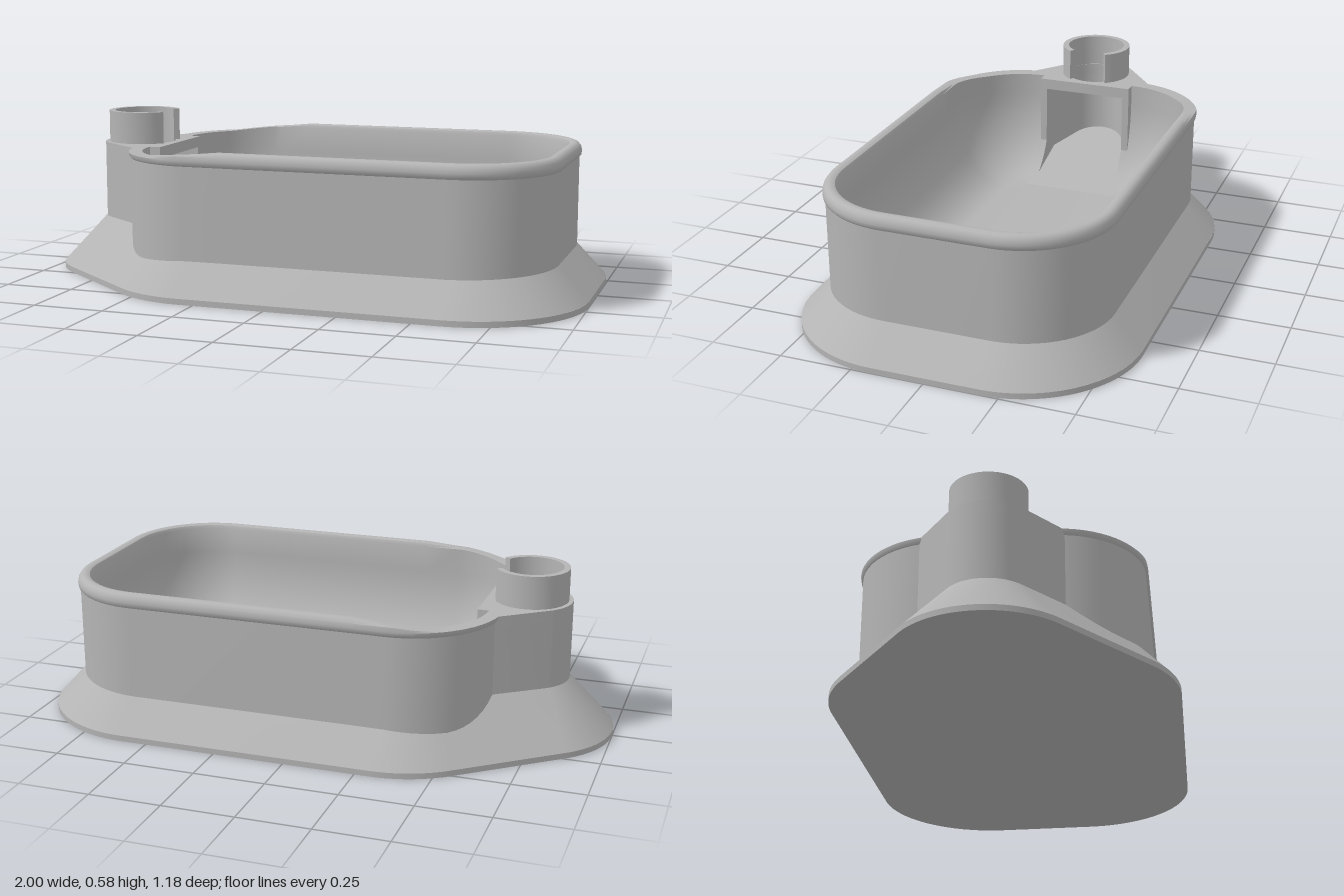
import * as THREE from 'three';
import { toCreasedNormals } from 'three/addons/utils/BufferGeometryUtils.js';

const TOWER_X = -0.69, TOWER_R = 0.15, SEG = 16, FLOOR = 0.09;
const TANGENT = 127 * Math.PI / 180;

// points along an arc in plan, as [x, z]
function arc(cx, cz, r, a0, a1, n = SEG) {
  return Array.from({ length: n + 1 }, (_, i) => {
    const a = a0 + (a1 - a0) * i / n;
    return [cx + r * Math.cos(a), cz + r * Math.sin(a)];
  });
}

// rounded bowl outline, offset by o, left open at the tower side
function bowlOutline(o) {
  const r = 0.31 + o, q = Math.PI / 2;
  const xl = -0.32, xr = 0.585, z = 0.18;
  return [
    ...arc(xl, z, r, 2 * q, q), [-0.2, z + r],
    ...arc(xr, z, r, q, 0), ...arc(xr, -z, r, 0, -q),
    [-0.2, -z - r], ...arc(xl, -z, r, -q, -2 * q),
  ];
}

// base outline: convex hull of five circles
function baseOutline() {
  const circles = [[-0.3, 0.18, 0.41], [0.59, 0.18, 0.41], [-0.3, -0.18, 0.41], [0.59, -0.18, 0.41], [TOWER_X, 0, 0.31]];
  const pts = [];
  for (let i = 0; i < 180; i++) {
    const a = (i + 0.5) / 90 * Math.PI, c = Math.cos(a), s = Math.sin(a);
    const reach = ([x, z, r]) => x * c + z * s + r;
    const [x, z, r] = circles.reduce((m, k) => (reach(k) > reach(m) ? k : m));
    pts.push([x + r * c, z + r * s]);
  }
  return pts;
}

// nearest point on a closed outline
function nearest([px, pz], loop) {
  let best = null, bestD = Infinity;
  loop.forEach(([ax, az], i) => {
    const [bx, bz] = loop[(i + 1) % loop.length];
    const dx = bx - ax, dz = bz - az;
    const t = THREE.MathUtils.clamp(((px - ax) * dx + (pz - az) * dz) / (dx * dx + dz * dz), 0, 1);
    const q = [ax + t * dx, az + t * dz], d = Math.hypot(px - q[0], pz - q[1]);
    if (d < bestD) { bestD = d; best = q; }
  });
  return { point: best, distance: bestD };
}

// surface through rows of [x, y, z] points
function loft(rows) {
  const n = rows[0].length, index = [];
  for (let j = 0; j < rows.length - 1; j++) {
    for (let i = 0; i < n - 1; i++) {
      const a = j * n + i, b = a + n;
      index.push(a, a + 1, b, a + 1, b + 1, b);
    }
  }
  const g = new THREE.BufferGeometry();
  g.setAttribute('position', new THREE.Float32BufferAttribute(rows.flat(2), 3));
  g.setIndex(index);
  return toCreasedNormals(g, 0.6);
}

// plan outline raised from y0 to y1
function prism(outline, y0, y1, hole) {
  const toV = (pts) => pts.map(([x, z]) => new THREE.Vector2(x, -z));
  const shape = new THREE.Shape(toV(outline));
  if (hole) shape.holes.push(new THREE.Path(toV(hole)));
  const g = new THREE.ExtrudeGeometry(shape, { depth: y1 - y0, bevelEnabled: false });
  g.rotateX(-Math.PI / 2).translate(0, y0, 0);
  return toCreasedNormals(g, 0.6);
}

export function createModel() {
  const group = new THREE.Group();
  const grey = new THREE.MeshStandardMaterial({ color: 0xb4b4b4, side: THREE.DoubleSide });
  grey.name = 'grey plastic';
  const add = (name, geometry) => {
    const mesh = new THREE.Mesh(geometry, grey);
    mesh.name = name;
    group.add(mesh);
  };

  // base plate
  const base = baseOutline();
  add('basePlate', prism(base, 0, 0.02));

  // sloping skirt from the plate up to the bowl and tower walls
  const towerArc = arc(TOWER_X, 0, TOWER_R, -TANGENT, TANGENT - 2 * Math.PI, 24);
  const walls = [
    ...bowlOutline(0).filter(([x, z]) => x > 0 || Math.abs(z) > 0.24),
    [-0.624, -0.24], ...towerArc, [-0.624, 0.24],
  ];
  walls.push(walls[0]);
  const feet = walls.map((p) => nearest(p, base));
  add('skirt', loft([
    walls.map(([x, z], i) => [x, 0.02 + 1.08 * feet[i].distance, z]),
    feet.map(({ point: [x, z] }) => [x, 0.02, z]),
  ]));

  // bowl: outer wall, rolled lip, inner wall, deep curved bottom
  const profile = [
    [0, 0.05], [0, 0.45], [0.006, 0.457], [0.008, 0.47], [0.005, 0.485], [-0.003, 0.496],
    [-0.013, 0.5], [-0.025, 0.5], [-0.034, 0.496], [-0.04, 0.485], [-0.04, 0.39],
  ];
  for (let i = 1; i <= 12; i++) {
    const a = i / 12 * Math.PI / 2;
    profile.push([-0.04 - 0.21 * (1 - Math.cos(a)), 0.39 - (0.39 - FLOOR) * Math.sin(a)]);
  }
  const rimHeight = (x) => 0.47 + 0.03 * THREE.MathUtils.clamp((x + 0.5) / 0.3, 0, 1);
  const rows = profile.map(([o, y]) => bowlOutline(o).map(([x, z]) => [x, Math.min(y, rimHeight(x)), z]));
  rows.push(rows[rows.length - 1].map(([x]) => [x, FLOOR, 0]));
  add('bowl', loft(rows.reverse()));

  // tower with a channel open to the bowl, bridged at the top
  const towerOuter = [
    [-0.55, -0.18], [-0.6, -0.18], [-0.6, -0.24], [-0.624, -0.24],
    ...towerArc, [-0.624, 0.24], [-0.6, 0.24], [-0.6, 0.18], [-0.55, 0.18],
  ];
  const channel = [
    [-0.55, 0.155], [-0.64, 0.155],
    ...arc(TOWER_X, 0, 0.11, TANGENT, 2 * Math.PI - TANGENT), [-0.64, -0.155], [-0.55, -0.155],
  ];
  add('towerWall', prism([...towerOuter, ...channel], 0.04, 0.43));
  add('towerTop', prism(towerOuter, 0.43, 0.47, arc(TOWER_X, 0, 0.11, 0, 2 * Math.PI, 40).slice(0, -1)));

  // split collar on the tower
  const gap = 0.58;
  add('collar', prism([
    ...arc(-0.695, 0, 0.13, gap, 2 * Math.PI - gap, 40),
    ...arc(-0.695, 0, 0.108, 2 * Math.PI - gap, gap, 40),
  ], 0.46, 0.585));

  // ramp from the tower down to the bowl floor
  const ramp = [[-0.8, 0.2, 0.09], [-0.66, 0.164, 0.155], [-0.38, FLOOR, 0.18]];
  add('ramp', loft(ramp.map(([x, y, w]) => [[x, y, -w], [x, y, w]]).reverse()));

  // cheeks beside the ramp follow the curved bottom
  const cheek = new THREE.Shape();
  cheek.moveTo(-0.59, 0.06);
  cheek.lineTo(-0.38, 0.06);
  cheek.absellipse(-0.38, 0.39, 0.21, 0.39 - FLOOR, -Math.PI / 2, -Math.PI, true);
  for (const z of [0.155, -0.18]) {
    const g = new THREE.ExtrudeGeometry(cheek, { depth: 0.025, bevelEnabled: false });
    add('channelCheek', toCreasedNormals(g.translate(0, 0, z), 0.6));
  }
  return group;
}
